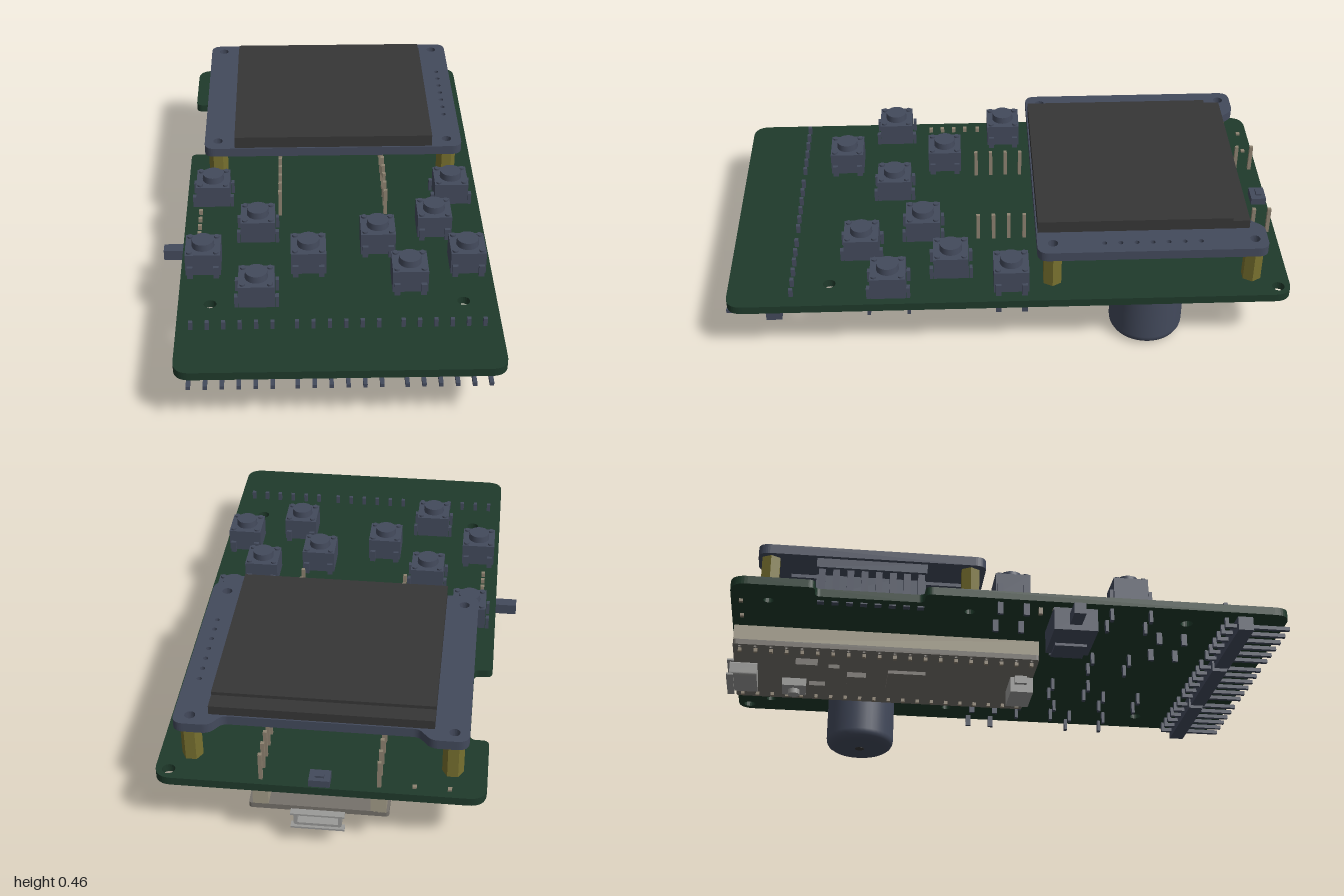
import * as THREE from 'three';
import { mergeGeometries } from 'three/addons/utils/BufferGeometryUtils.js';

const mat = (color) => new THREE.MeshStandardMaterial({ color });
const M = {
  board: mat(0x1f3a2b), part: mat(0x434a5c), screen: mat(0x363636),
  brass: mat(0x77702f), cream: mat(0xa39c88), pin: mat(0x8d8270),
  module: mat(0x75716b), metal: mat(0x9a9a98),
};

// Box from its limits on each axis
function box(x0, x1, y0, y1, z0, z1) {
  return new THREE.BoxGeometry(x1 - x0, y1 - y0, z1 - z0)
    .translate((x0 + x1) / 2, (y0 + y1) / 2, (z0 + z1) / 2);
}

// Upright box pin around (x, z)
const post = (x, z, y0, y1, w = 0.014) => box(x - w / 2, x + w / 2, y0, y1, z - w / 2, z + w / 2);

// Flat plate: outline in x and z with round holes [x, z, r]
function plate(shape, y0, y1, holes = []) {
  for (const [x, z, r] of holes) {
    shape.holes.push(new THREE.Path().absarc(x, z, r, 0, Math.PI * 2, true));
  }
  return new THREE.ExtrudeGeometry(shape, { depth: y1 - y0, bevelEnabled: false, curveSegments: 10 })
    .rotateX(Math.PI / 2).translate(0, y1, 0);
}

// Closed outline with rounded corners from points [x, z, radius]
function outline(points) {
  const s = new THREE.Shape();
  points.forEach(([x, z, r], i) => {
    const p = new THREE.Vector2(x, z);
    const toward = (q) => p.clone().add(new THREE.Vector2(q[0] - x, q[1] - z).setLength(r));
    const a = toward(points[(i + points.length - 1) % points.length]);
    const b = toward(points[(i + 1) % points.length]);
    if (i === 0) s.moveTo(a.x, a.y); else s.lineTo(a.x, a.y);
    s.quadraticCurveTo(x, z, b.x, b.y);
  });
  s.closePath();
  return s;
}

export function createModel() {
  const g = new THREE.Group();
  const add = (name, material, ...geos) => {
    const flat = geos.map((q) => (q.index ? q.toNonIndexed() : q));
    const mesh = new THREE.Mesh(mergeGeometries(flat), material);
    mesh.name = name;
    g.add(mesh);
    return mesh;
  };

  const mounts = [[-0.395, -0.85], [0.475, -0.85], [-0.395, -0.145], [0.475, -0.145]];
  const mountHoles = mounts.map(([x, z]) => [x, z, 0.018]);

  // Main board with side notch
  add('mainBoard', M.board, plate(outline([
    [-0.51, -0.98, 0.06], [0.585, -0.98, 0.06], [0.585, 0.995, 0.06], [-0.51, 0.995, 0.06],
    [-0.51, -0.31, 0.025], [-0.445, -0.31, 0.02], [-0.445, -0.69, 0.02], [-0.51, -0.69, 0.025],
  ]), 0.215, 0.245, [[0.54, -0.937, 0.022], [-0.4, 0.64, 0.022], [0.47, 0.64, 0.022], ...mountHoles]));

  // Display carrier, glass and standoffs
  const headerHoles = Array.from({ length: 7 }, (_, i) => [0.48, -0.66 + i * 0.056, 0.009]);
  add('displayBoard', M.part, plate(outline([
    [-0.445, -0.895, 0.04], [-0.32, -0.895, 0.025], [-0.28, -0.845, 0.02], [0.37, -0.845, 0.02],
    [0.405, -0.895, 0.025], [0.53, -0.895, 0.04], [0.53, -0.09, 0.04], [-0.445, -0.09, 0.04],
  ]), 0.375, 0.41, [...mountHoles, ...headerHoles]));
  add('screen', M.screen,
    box(-0.33, 0.415, 0.41, 0.455, -0.78, -0.095), box(-0.33, 0.415, 0.41, 0.443, -0.84, -0.78));
  add('standoffs', M.brass, ...mounts.map(([x, z]) => {
    const hex = new THREE.Shape(Array.from({ length: 6 }, (_, i) => {
      const a = i * Math.PI / 3;
      return new THREE.Vector2(x + 0.036 * Math.cos(a), z + 0.036 * Math.sin(a));
    }));
    return plate(hex, 0.245, 0.375, [[x, z, 0.018]]);
  }));

  // Connector between display and board, with comb of contacts
  const comb = [box(-0.37, -0.28, 0.25, 0.375, -0.69, -0.3), box(-0.43, -0.37, 0.34, 0.375, -0.69, -0.3)];
  for (let i = 0; i < 8; i++) comb.push(post(-0.405, -0.67 + i * 0.05, 0.21, 0.34, 0.024));
  add('displayConnector', M.part, ...comb);
  add('displayUnderParts', M.part, box(-0.18, 0.16, 0.325, 0.375, -0.7, -0.59),
    box(-0.3, 0.38, 0.362, 0.375, -0.78, -0.14));

  // Push buttons; last value turns the legs to the other pair of sides
  const buttons = [
    [-0.41, 0, 0], [0.48, 0, 0], [-0.24, 0.23, 0], [0.4, 0.21, 1], [0.19, 0.31, 1],
    [-0.43, 0.42, 1], [-0.06, 0.42, 1], [0.5, 0.43, 1], [0.29, 0.53, 1], [-0.24, 0.605, 0],
  ];
  for (const [x, z, turned] of buttons) {
    const geos = [
      box(-0.062, 0.062, 0.25, 0.335, -0.062, 0.062),
      new THREE.CylinderGeometry(0.038, 0.04, 0.025, 24).translate(0, 0.3475, 0),
    ];
    for (const sx of [-1, 1]) for (const sz of [-1, 1]) {
      geos.push(new THREE.CylinderGeometry(0.01, 0.01, 0.008, 10).translate(sx * 0.047, 0.338, sz * 0.047));
      geos.push(box(sx * 0.07 - 0.006, sx * 0.07 + 0.006, 0.17, 0.29, sz * 0.046 - 0.01, sz * 0.046 + 0.01));
    }
    const button = add('pushButton', M.part, ...geos);
    button.position.set(x, 0, z);
    button.rotation.y = turned * Math.PI / 2;
  }

  // Round buzzer under the board
  const r = 0.131;
  const profile = [[0, 0], [r - 0.035, 0], [r - 0.02, 0.003], [r - 0.008, 0.012], [r - 0.002, 0.023],
    [r, 0.036], [r, 0.2], [r, 0.215]].map(([a, b]) => new THREE.Vector2(a, b));
  const buzzer = add('buzzer', M.part, new THREE.LatheGeometry(profile, 40));
  buzzer.position.set(0.431, 0, -0.49);
  add('buzzerHole', M.screen,
    new THREE.CylinderGeometry(0.018, 0.018, 0.004, 16).translate(0.431, 0, -0.49).translate(0, 0.001, 0));

  // Controller module on two long sockets
  const rows = [-0.16, 0.23];
  add('moduleSockets', M.cream, ...rows.map((x) => box(x - 0.026, x + 0.026, 0.152, 0.215, -0.975, 0.135)));
  const moduleHoles = [];
  const modulePins = [];
  for (const x of rows) for (let i = 0; i < 20; i++) {
    const z = 0.11 - i * 0.0558;
    moduleHoles.push([x + Math.sign(x) * 0.02, z, 0.007]);
    modulePins.push(post(x, z, 0.122, 0.35, 0.013));
  }
  add('modulePins', M.pin, ...modulePins);
  add('controllerModule', M.module, plate(outline([
    [-0.195, -0.975, 0.012], [0.27, -0.975, 0.012], [0.27, 0.135, 0.012], [-0.195, 0.135, 0.012],
  ]), 0.135, 0.155, moduleHoles));
  add('moduleChips', M.module,
    box(-0.035, 0.105, 0.122, 0.135, -0.41, -0.27), box(0.0, 0.08, 0.115, 0.135, -0.56, -0.49),
    box(-0.1, -0.04, 0.11, 0.135, -0.75, -0.67), box(0.1, 0.15, 0.118, 0.135, -0.7, -0.64),
    box(-0.06, 0.0, 0.12, 0.135, -0.63, -0.59));
  add('resetButton', M.metal, box(0.08, 0.17, 0.105, 0.135, -0.8, -0.71),
    new THREE.CylinderGeometry(0.022, 0.022, 0.02, 16).translate(0.125, 0.096, -0.755));
  add('debugConnector', M.metal, box(-0.035, 0.105, 0.075, 0.135, 0.05, 0.135),
    box(-0.05, 0.14, 0.105, 0.135, 0.065, 0.11));

  // Charging socket: open shell with flared mouth
  const mouth = outline([[-0.04, 0.085, 0.01], [0.12, 0.085, 0.01], [0.12, 0.135, 0.005], [-0.04, 0.135, 0.005]]);
  mouth.holes.push(new THREE.Path([[-0.028, 0.095], [-0.028, 0.126], [0.108, 0.126], [0.108, 0.095]]
    .map(([a, b]) => new THREE.Vector2(a, b))));
  add('chargingSocket', M.metal,
    new THREE.ExtrudeGeometry(mouth, { depth: 0.1, bevelEnabled: false }).translate(0, 0, -0.99),
    box(-0.03, 0.11, 0.09, 0.13, -0.93, -0.89),
    box(-0.05, 0.13, 0.135, 0.142, -1, -0.975), box(-0.05, 0.13, 0.078, 0.085, -1, -0.975));

  // Small parts on the board's back edge
  add('topSensor', M.part, box(0.0, 0.07, 0.245, 0.272, -0.975, -0.92), box(0.02, 0.05, 0.272, 0.28, -0.96, -0.94));
  add('backPins', M.pin, post(-0.39, -0.945, 0.205, 0.252), post(-0.275, -0.945, 0.205, 0.252));

  // Angled pin headers under the front edge
  const plastic = [];
  const pins = [];
  for (let k = 0; k < 3; k++) {
    const x0 = -0.46 + k * 0.357;
    plastic.push(box(x0 - 0.028, x0 + 0.303, 0.16, 0.212, 0.805, 0.86));
    for (let i = 0; i < 6; i++) {
      const x = x0 + i * 0.055;
      pins.push(post(x, 0.77, 0.178, 0.275), box(x - 0.007, x + 0.007, 0.178, 0.192, 0.763, 1));
    }
  }
  add('edgeHeaders', M.part, ...plastic);
  add('edgeHeaderPins', M.part, ...pins);

  // Slide switch under the left-hand edge
  add('slideSwitch', M.part, box(-0.5, -0.3, 0.115, 0.2, 0.14, 0.295), box(-0.47, -0.26, 0.15, 0.215, 0.15, 0.285),
    box(-0.39, -0.29, 0.105, 0.115, 0.16, 0.275));
  add('switchLever', M.part, box(-0.59, -0.49, 0.135, 0.176, 0.195, 0.237));
  add('switchPins', M.pin, ...[0.1, 0.15, 0.195, 0.24, 0.285].map((z) => post(-0.455, z, 0.19, 0.262)));

  return g;
}
